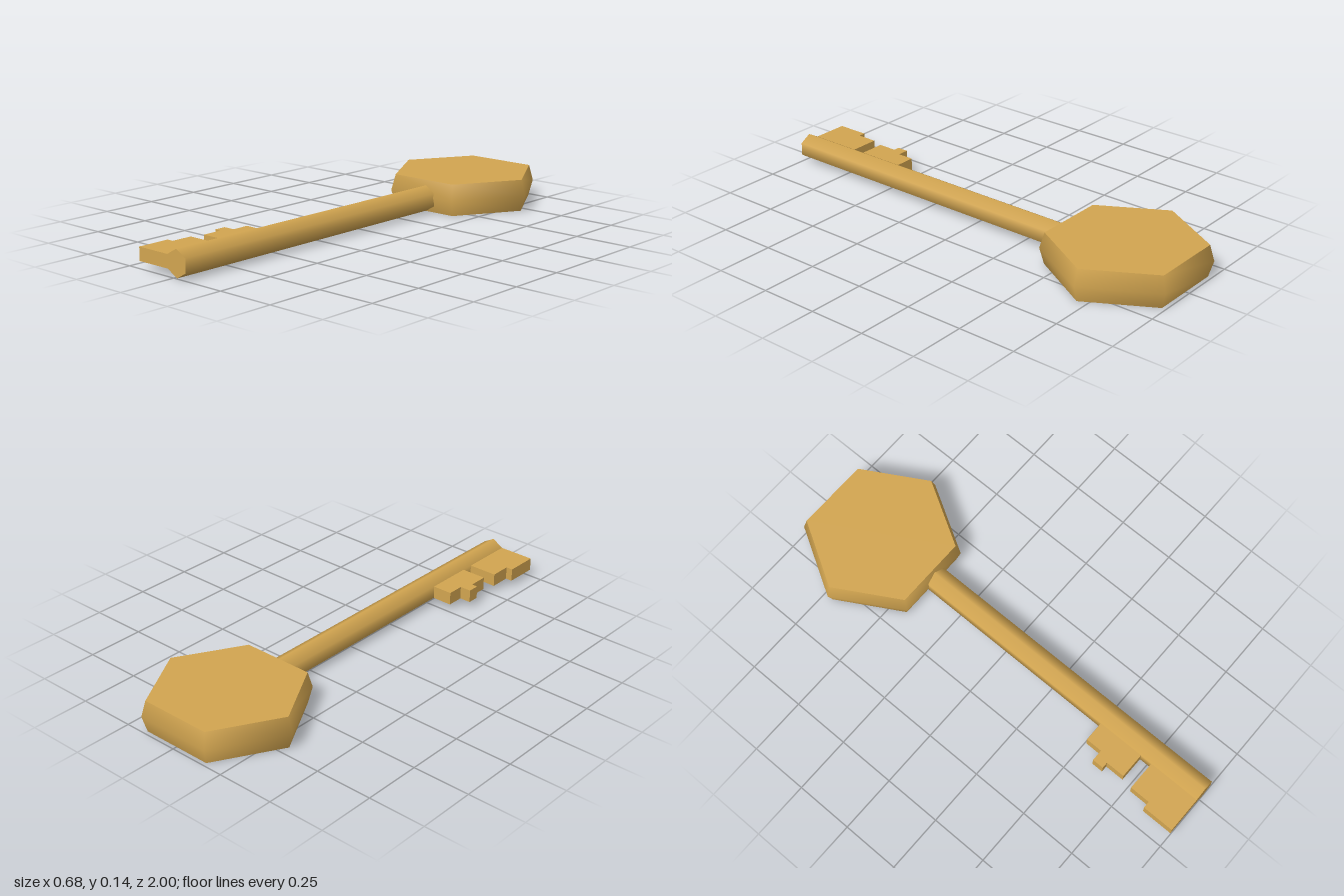
import * as THREE from 'three';

const brass = new THREE.MeshStandardMaterial({ color: 0xd2a550 });
brass.name = 'brass';

function addPart(parent, name, geometry, x = 0, y = 0, z = 0) {
  const mesh = new THREE.Mesh(geometry, brass);
  mesh.name = name;
  mesh.position.set(x, y, z);
  parent.add(mesh);
}

// Flat plate from an outline of [x, z] points, lying between two heights
function plate(points, bottom, top) {
  const shape = new THREE.Shape(points.map(([x, z]) => new THREE.Vector2(x, z)));
  const geometry = new THREE.ExtrudeGeometry(shape, { depth: top - bottom, bevelEnabled: false });
  return geometry.rotateX(Math.PI / 2).translate(0, top, 0);
}

export function createModel() {
  const key = new THREE.Group();
  key.name = 'key';

  // Six-sided bow: smooth bulging rim closed by flat faces
  const bow = new THREE.Group();
  bow.name = 'bow';
  bow.position.z = -0.707;
  key.add(bow);
  const height = 0.137, faceRadius = 0.318, midRadius = 0.338;
  const profile = [[faceRadius, 0], [midRadius, height / 2], [faceRadius, height]]
    .map(([r, y]) => new THREE.Vector2(r, y));
  addPart(bow, 'bowRim', new THREE.LatheGeometry(profile, 6, Math.PI / 2));
  addPart(bow, 'bowTop', new THREE.CircleGeometry(faceRadius, 6).rotateX(-Math.PI / 2), 0, height);
  addPart(bow, 'bowBottom', new THREE.CircleGeometry(faceRadius, 6).rotateX(Math.PI / 2));

  // Six-sided shaft running from the bow to the tip
  const start = -0.43, end = 1;
  const shaft = new THREE.CylinderGeometry(0.0565, 0.0565, end - start, 6).rotateX(Math.PI / 2);
  addPart(key, 'shaft', shaft, 0.018, 0.0585, (start + end) / 2);

  // Stepped teeth on one side of the shaft
  const root = -0.02;
  addPart(key, 'tipTooth', plate([
    [root, 1], [-0.19, 1], [-0.19, 0.86], [-0.16, 0.86], [-0.16, 0.77], [root, 0.77],
  ], 0.03, 0.086));
  addPart(key, 'innerTooth', plate([
    [root, 0.717], [-0.143, 0.717], [-0.143, 0.633], [-0.17, 0.633],
    [-0.17, 0.583], [-0.12, 0.583], [-0.12, 0.51], [root, 0.51],
  ], 0.03, 0.086));

  return key;
}
